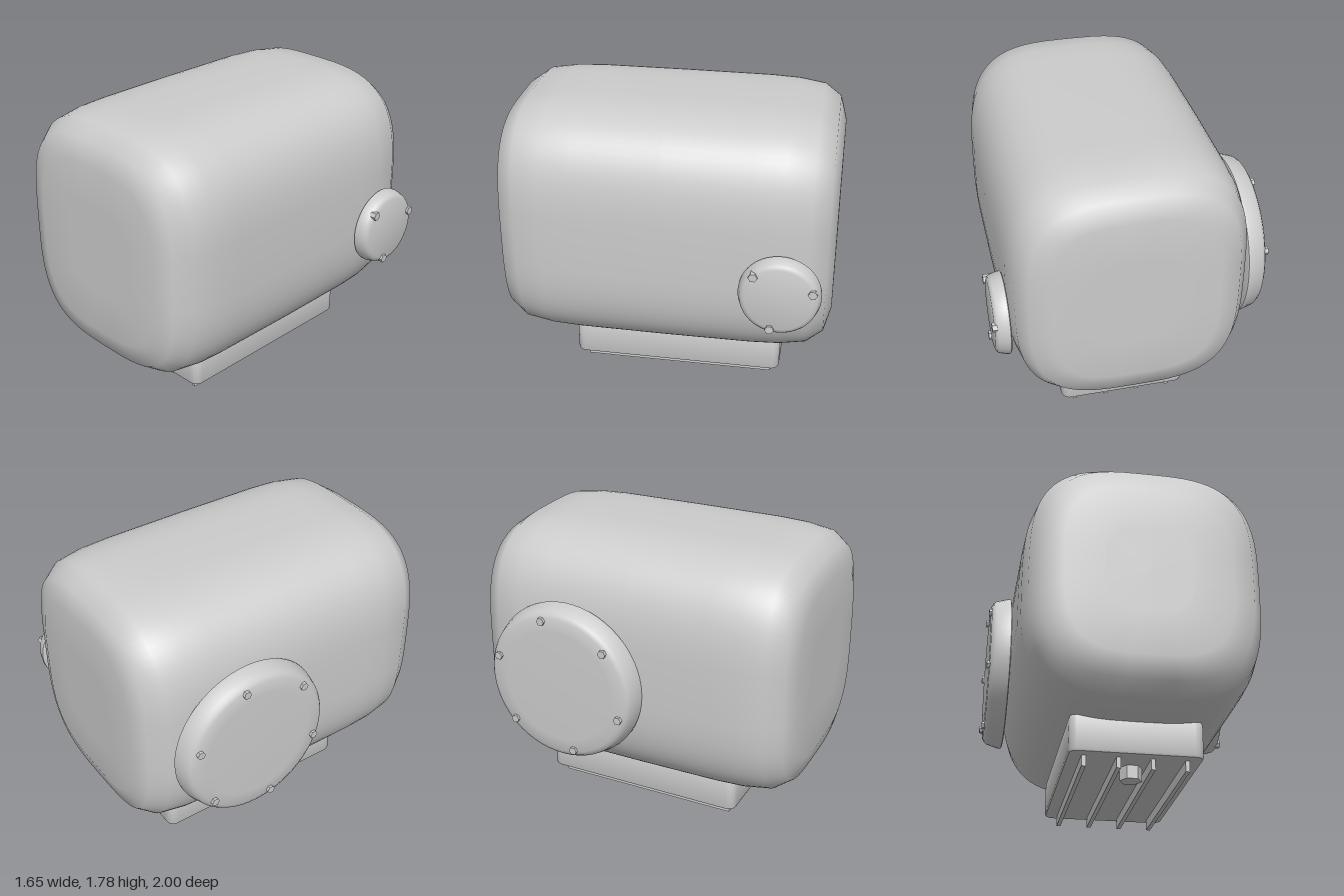
import * as THREE from 'three';
import { toCreasedNormals } from 'three/addons/utils/BufferGeometryUtils.js';

const material = new THREE.MeshStandardMaterial({ color: 0xcccccc });

function addMesh(parent, name, geometry, x = 0, y = 0, z = 0) {
  const mesh = new THREE.Mesh(geometry, material);
  mesh.name = name;
  mesh.position.set(x, y, z);
  parent.add(mesh);
  return mesh;
}

// Housing: superelliptic rings lofted along z, closed at both ends
function housingGeometry() {
  const sides = 72, power = 2 / 3.3;
  // z, half width, half height
  const end = [
    [1, 0, 0], [1, 0.25, 0.27], [1, 0.485, 0.53], [0.96, 0.605, 0.66],
    [0.86, 0.668, 0.728], [0.7, 0.693, 0.75], [0.53, 0.699, 0.757],
  ];
  const rings = [
    ...end, [0, 0.703, 0.758],
    ...end.map(([z, a, b]) => [-z, a, b]).reverse(),
  ];
  const bulge = (v) => Math.sign(v) * Math.abs(v) ** power;
  const positions = [], index = [];
  for (const [z, a, b] of rings) {
    for (let i = 0; i < sides; i++) {
      const t = (i / sides) * Math.PI * 2;
      positions.push(a * bulge(Math.cos(t)), b * bulge(Math.sin(t)), z);
    }
  }
  for (let r = 0; r < rings.length - 1; r++) {
    for (let i = 0; i < sides; i++) {
      const j = (i + 1) % sides;
      const a = r * sides + i, b = r * sides + j;
      const c = a + sides, d = b + sides;
      if (r > 0) index.push(a, c, b);
      if (r < rings.length - 2) index.push(b, c, d);
    }
  }
  // The end fans keep the triangle that touches the outer ring
  const geometry = new THREE.BufferGeometry();
  geometry.setAttribute('position', new THREE.Float32BufferAttribute(positions, 3));
  geometry.setIndex(index);
  geometry.computeVertexNormals();
  return geometry;
}

// Round cover facing local +y, with hexagonal bolts at given [radius, angle]
function makeCover(name, profile, bolts, boltRadius, boltBase, boltTop) {
  const cover = new THREE.Group();
  cover.name = name;
  const points = profile.map(([r, h]) => new THREE.Vector2(r, h));
  addMesh(cover, 'coverPlate', toCreasedNormals(new THREE.LatheGeometry(points, 56), 0.7));
  const bolt = new THREE.CylinderGeometry(boltRadius, boltRadius, boltTop - boltBase, 6);
  for (const [r, angle] of bolts) {
    addMesh(cover, 'coverBolt', toCreasedNormals(bolt, 0.5),
      0, (boltBase + boltTop) / 2, 0)
      .position.add(new THREE.Vector3(r * Math.cos(angle), 0, r * Math.sin(angle)));
  }
  return cover;
}

// Mounting foot: rounded rectangle extruded upward with a small bevel below
function footGeometry(width, length, bottom, top) {
  const bevel = 0.018, r = 0.035;
  const w = width / 2 - bevel, l = length / 2 - bevel;
  const shape = new THREE.Shape();
  shape.moveTo(-w + r, -l);
  shape.lineTo(w - r, -l);
  shape.absarc(w - r, -l + r, r, -Math.PI / 2, 0);
  shape.absarc(w - r, l - r, r, 0, Math.PI / 2);
  shape.absarc(-w + r, l - r, r, Math.PI / 2, Math.PI);
  shape.absarc(-w + r, -l + r, r, Math.PI, Math.PI * 1.5);
  const geometry = new THREE.ExtrudeGeometry(shape, {
    depth: top - bottom - 2 * bevel, bevelSize: bevel, bevelThickness: bevel,
    bevelSegments: 2, curveSegments: 5,
  });
  geometry.rotateX(-Math.PI / 2);
  geometry.translate(0, bottom + bevel, 0);
  return toCreasedNormals(geometry, 0.6);
}

export function createModel() {
  const model = new THREE.Group();
  model.name = 'gearHousing';
  const centreX = 0.018;

  addMesh(model, 'housing', housingGeometry(), centreX, 1.026, 0);

  // Large cover on the -x side, six evenly spaced bolts
  const sixBolts = [];
  for (let i = 0; i < 6; i++) sixBolts.push([0.415, Math.PI * (42.5 / 180 + i / 3)]);
  const largeCover = makeCover('largeCover', [
    [0, 0], [0.48, 0], [0.49, 0.005], [0.49, 0.02], [0.468, 0.095],
    [0.455, 0.112], [0.43, 0.125], [0.35, 0.128], [0, 0.128],
  ], sixBolts, 0.025, 0.1, 0.142);
  // Local x runs along +z, local z runs along +y, local y points to -x
  largeCover.setRotationFromMatrix(new THREE.Matrix4().makeBasis(
    new THREE.Vector3(0, 0, 1), new THREE.Vector3(-1, 0, 0), new THREE.Vector3(0, 1, 0)));
  largeCover.rotation.set(0, 0, Math.PI / 2);
  largeCover.position.set(-0.682, 0.94, -0.357);
  model.add(largeCover);
  // Upright turn: local x becomes +y, so swap the bolt coordinates
  for (const bolt of largeCover.children.slice(1)) {
    const { x, z } = bolt.position;
    bolt.position.x = z;
    bolt.position.z = x;
  }

  // Small cover on the +x side, three bolts given as [z, y] offsets
  const smallBolts = [[0.15, 0.14], [-0.19, 0.06], [0.045, -0.195]]
    .map(([z, y]) => [Math.hypot(z, y), Math.atan2(z, -y)]);
  const smallCover = makeCover('smallCover', [
    [0, 0], [0.23, 0], [0.239, 0.006], [0.239, 0.025], [0.226, 0.07],
    [0.215, 0.083], [0.195, 0.09], [0, 0.092],
  ], smallBolts, 0.027, 0.06, 0.104);
  smallCover.rotation.z = -Math.PI / 2;
  smallCover.position.set(0.718, 0.85, -0.705);
  model.add(smallCover);

  // Foot with cooling ribs and a drain plug beneath
  addMesh(model, 'foot', footGeometry(0.77, 1.29, 0.078, 0.305), 0.016, 0, -0.055);
  for (let i = 0; i < 4; i++) {
    addMesh(model, 'footRib', new THREE.BoxGeometry(0.025, 0.075, 1.17),
      -0.28 + i * 0.197, 0.0525, -0.055);
  }
  const plug = new THREE.CylinderGeometry(0.065, 0.065, 0.09, 6);
  plug.rotateY(Math.PI / 6);
  addMesh(model, 'drainPlug', toCreasedNormals(plug, 0.5), 0.016, 0.045, 0.355);

  return model;
}
